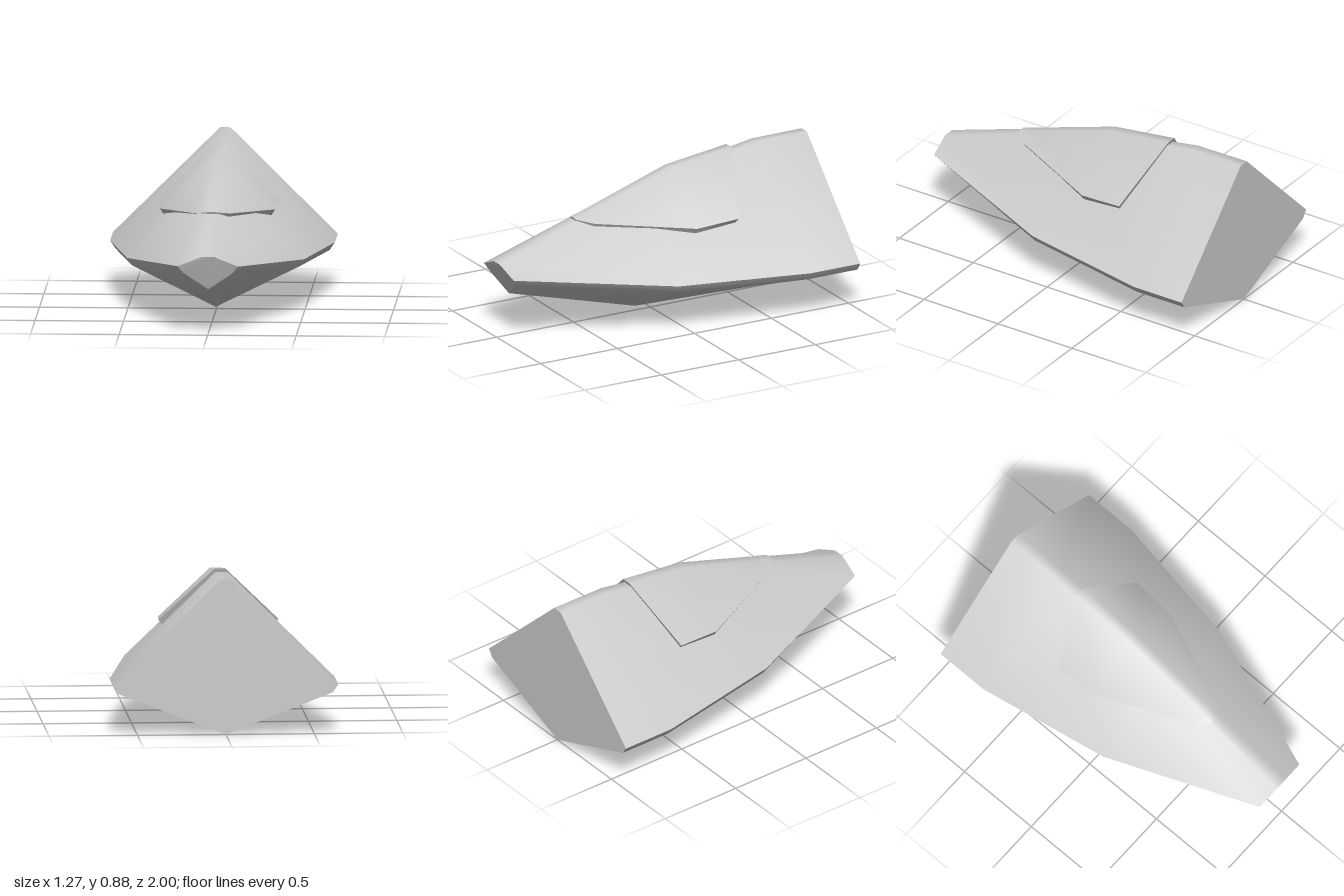
import * as THREE from 'three';
import { toCreasedNormals } from 'three/addons/utils/BufferGeometryUtils.js';

const material = new THREE.MeshStandardMaterial({ color: 0xcccccc });

// Mirrors a half section (x >= 0, listed top to bottom) into a closed ring
function mirrorSection(half) {
  const left = half.filter((p) => p[0] > 0).reverse().map(([x, y, z]) => [-x, y, z]);
  return [...half, ...left];
}

// Skins mirrored sections, front to back, and caps both ends
function loft(name, halves) {
  const rings = halves.map(mirrorSection);
  const n = rings[0].length;
  const index = [];
  for (let i = 0; i < rings.length - 1; i++) {
    for (let j = 0; j < n; j++) {
      const a = i * n + j, b = i * n + (j + 1) % n;
      index.push(a, b, b + n, a, b + n, a + n);
    }
  }
  const rear = (rings.length - 1) * n;
  for (let j = 1; j < n - 1; j++) {
    index.push(0, j + 1, j);
    index.push(rear, rear + j, rear + j + 1);
  }
  const geometry = new THREE.BufferGeometry();
  geometry.setAttribute('position', new THREE.Float32BufferAttribute(rings.flat(2), 3));
  geometry.setIndex(index);
  const mesh = new THREE.Mesh(toCreasedNormals(geometry, THREE.MathUtils.degToRad(52)), material);
  mesh.name = name;
  return mesh;
}

export function createModel() {
  const group = new THREE.Group();
  group.name = 'wedgeCraft';

  // Hull: ridge, upper chine, lower chine, keel at each station
  group.add(loft('hull', [
    [[0.035, 0.447, 1], [0.17, 0.39, 0.985], [0.14, 0.35, 0.965], [0, 0.25, 0.92]],
    [[0.03, 0.75, 0.1], [0.5, 0.3, 0.1], [0.475, 0.26, 0.1], [0, 0.025, 0.1]],
    [[0.03, 0.88, -0.67], [0.635, 0.28, -0.68], [0.605, 0.235, -0.68], [0, 0.004, -0.68]],
    [[0.03, 0.882, -1], [0.635, 0.28, -1], [0.605, 0.235, -1], [0, 0, -1]],
  ]));

  // Canopy: ridge, outer rim, undercut rim at each station
  group.add(loft('canopy', [
    [[0.015, 0.629, 0.505], [0.03, 0.625, 0.503], [0.028, 0.606, 0.495]],
    [[0.025, 0.653, 0.42], [0.1, 0.607, 0.42], [0.09, 0.588, 0.415]],
    [[0.03, 0.825, -0.11], [0.325, 0.55, -0.12], [0.305, 0.517, -0.12]],
    [[0.03, 0.877, -0.51], [0.34, 0.568, -0.38], [0.315, 0.537, -0.37]],
  ]));

  return group;
}
